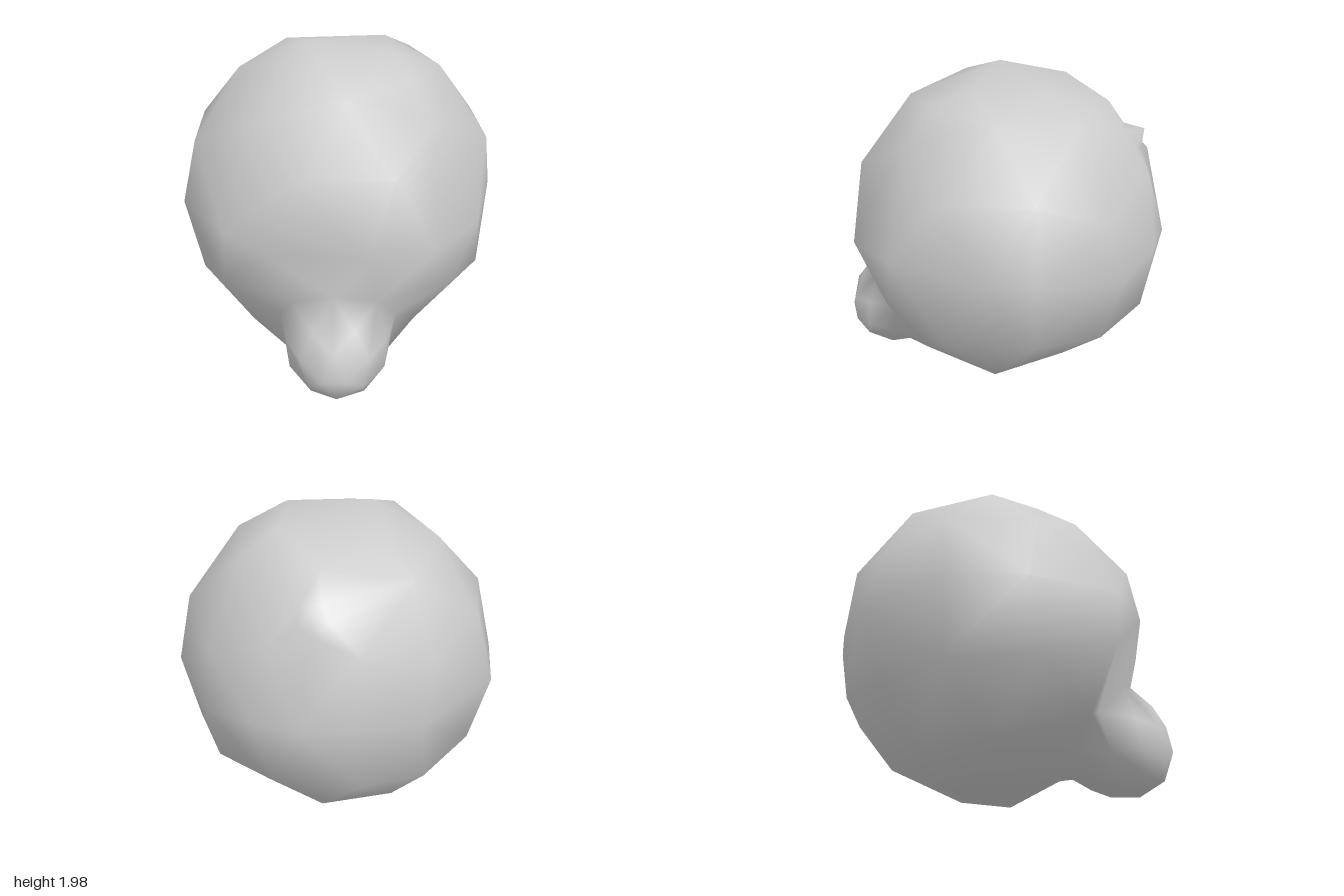
import * as THREE from 'three';
import { ConvexGeometry } from 'three/addons/geometries/ConvexGeometry.js';
import { mergeVertices } from 'three/addons/utils/BufferGeometryUtils.js';

const vec = (x, y, z) => new THREE.Vector3(x, y, z);

// Points of the irregular ball, relative to its centre: three outline rings plus octant fillers
function ballPoints() {
  const frontRing = [ // x, y, z
    [-0.09, 0.98, 0.2], [0.35, 0.92, -0.12], [0.57, 0.83, 0], [0.74, 0.62, 0], [0.97, 0.03, -0.14], [0.91, -0.34, 0],
    [0.64, -0.74, 0], [0.16, -1, 0], [-0.23, -0.99, 0], [-0.59, -0.82, 0], [-0.88, -0.49, 0],
    [-0.98, -0.03, -0.12], [-0.93, 0.31, 0], [-0.71, 0.73, 0], [-0.46, 0.89, 0]];
  const sideRing = [ // z, y
    [-0.42, 0.91], [-0.68, 0.79], [-0.92, 0.27], [-0.9, -0.46], [-0.57, -0.74],
    [-0.27, -0.95], [0.41, -0.93], [0.78, -0.64], [0.99, -0.27], [0.74, 0.63], [0.44, 0.9]];
  const topRing = [ // x, z, y
    [-0.06, -1, -0.07], [0.48, -0.88, 0], [0.67, -0.71, 0], [0.97, 0.27, 0], [0.78, 0.58, 0], [0.32, 0.94, 0],
    [0.04, 1, 0.06], [-0.55, 0.83, 0], [-0.88, 0.51, 0], [-0.81, -0.5, 0], [-0.65, -0.74, 0], [-0.41, -0.9, 0]];
  const points = [
    ...frontRing.map(([x, y, z]) => vec(x, y, z)),
    ...sideRing.map(([z, y]) => vec(0, y, z)),
    ...topRing.map(([x, z, y]) => vec(x, y, z))];
  for (const sx of [-1, 1]) for (const sy of [-1, 1]) for (const sz of [-1, 1])
    for (const [x, y, z] of [[0.8, 0.43, 0.43], [0.43, 0.8, 0.43], [0.43, 0.43, 0.8]])
      points.push(vec(x * sx, y * sy, z * sz));
  return points;
}

// Staggered rings around an axis from the centre; profile is [radius, distance]
function bumpPoints(axis, profile, sides) {
  const turn = new THREE.Quaternion().setFromUnitVectors(vec(0, 1, 0), axis);
  return profile.flatMap(([r, d], ring) => Array.from({ length: r ? sides : 1 }, (_, i) => {
    const a = (i + ring / 2) / sides * Math.PI * 2;
    return vec(r * Math.cos(a), d, r * Math.sin(a)).applyQuaternion(turn);
  }));
}

// Join points into one skin: triangulate their directions, then move each back to its distance
function skin(points) {
  const directions = points.map(p => p.clone().normalize());
  const hull = new ConvexGeometry(directions);
  hull.deleteAttribute('normal');
  const geometry = mergeVertices(hull, 1e-4);
  const position = geometry.attributes.position;
  const v = vec(0, 0, 0);
  for (let i = 0; i < position.count; i++) {
    v.fromBufferAttribute(position, i);
    let best = 0;
    directions.forEach((d, k) => { if (d.dot(v) > directions[best].dot(v)) best = k; });
    position.setXYZ(i, ...points[best].toArray());
  }
  geometry.computeVertexNormals();
  return geometry;
}

export function createModel() {
  const group = new THREE.Group();
  group.name = 'ballWithKnob';

  // Rounded knob low on the front left, small nub high on the back right
  const knobAxis = vec(0.535, -0.685, 0.6).normalize();
  const nubAxis = vec(-0.57, 0.64, -0.6).normalize();
  const knob = bumpPoints(knobAxis, [[0.35, 0.85], [0.32, 1.04], [0.28, 1.17], [0.17, 1.3], [0, 1.36]], 8);
  const nub = bumpPoints(nubAxis, [[0.1, 0.96], [0, 1.05]], 5);

  // Ball points close to the knob give way to its neck
  const ball = ballPoints().filter(p => p.clone().normalize().dot(knobAxis) < 0.89);

  const body = new THREE.Mesh(skin([...ball, ...knob, ...nub]), new THREE.MeshStandardMaterial({ color: 0xcccccc }));
  body.name = 'body';
  body.position.y = 1;
  group.add(body);
  return group;
}
